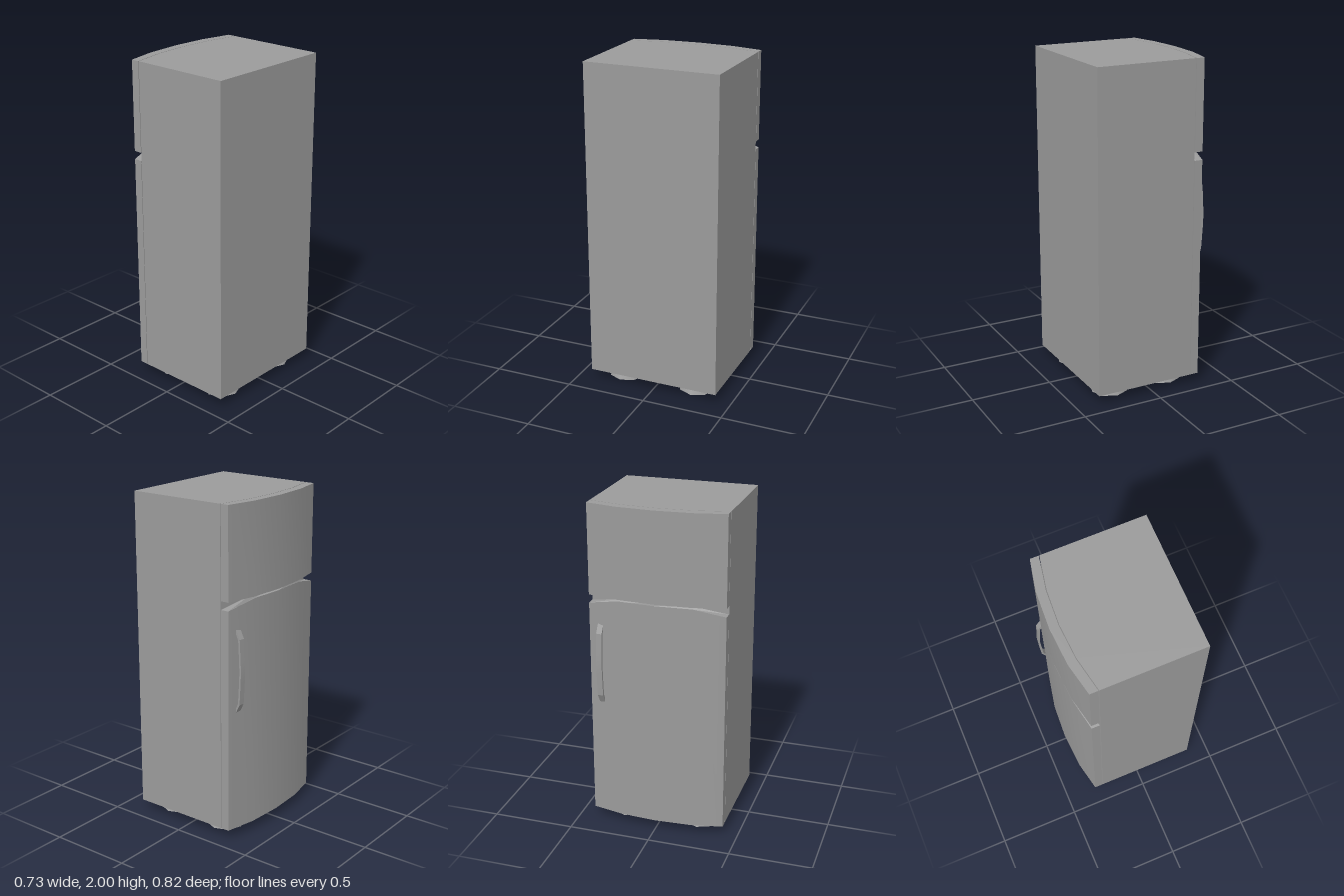
import * as THREE from 'three';
import { toCreasedNormals } from 'three/addons/utils/BufferGeometryUtils.js';

const GREY = 0x9b9b9b;
const material = new THREE.MeshStandardMaterial({ color: GREY });
const openMaterial = new THREE.MeshStandardMaterial({ color: GREY, side: THREE.DoubleSide });

const BASE = 0.057, TOP = 2, HALF = 0.411;

// Plan curves across the bowed face, as [x, z] from one side to the other
const bow = (xEdge, xKnee, xMid, zKnee) => [
  [xEdge, -HALF], [xKnee, -zKnee], [xMid, 0], [xKnee, zKnee], [xEdge, HALF],
];
const cabinetFace = bow(-0.255, -0.295, -0.307, 0.205);
const doorInner = bow(-0.259, -0.299, -0.311, 0.207);
const doorOuter = bow(-0.31, -0.35, -0.363, 0.222);

const toShape = (points) => new THREE.Shape(points.map(([a, b]) => new THREE.Vector2(a, b)));

// Raise a plan outline from y0 to y1
function prism(points, y0, y1) {
  const g = new THREE.ExtrudeGeometry(toShape(points), { depth: y1 - y0, bevelEnabled: false });
  g.rotateX(-Math.PI / 2);
  g.translate(0, y0, 0);
  return g;
}

function add(parent, name, geometry, mat = material) {
  const mesh = new THREE.Mesh(geometry, mat);
  mesh.name = name;
  parent.add(mesh);
  return mesh;
}

export function createModel() {
  const fridge = new THREE.Group();
  fridge.name = 'refrigerator';

  // Cabinet with a bowed face toward -x
  const cabinet = prism([...cabinetFace, [0.363, HALF], [0.363, -HALF]], BASE, TOP);
  add(fridge, 'cabinet', toCreasedNormals(cabinet, 0.5));

  // Doors
  const doorPlan = [...doorOuter, ...[...doorInner].reverse()];
  add(fridge, 'freezerDoor', toCreasedNormals(prism(doorPlan, 1.457, TOP), 0.5));

  // The lower door's top edge slopes down at both ends as finger grips
  const lower = prism(doorPlan, BASE, 1.448);
  const pos = lower.attributes.position;
  for (let i = 0; i < pos.count; i++) {
    if (pos.getY(i) > 1 && Math.abs(pos.getZ(i)) > 0.3) pos.setY(i, 1.407);
  }
  add(fridge, 'mainDoor', toCreasedNormals(lower, 0.5));

  // Bowed handle: side profile in x, y extruded across its width, turned to follow the door
  const outer = [[0.022, 1.3], [-0.011, 1.235], [-0.019, 1.1], [-0.021, 1.04],
    [-0.019, 0.98], [-0.011, 0.845], [0.022, 0.78]];
  const inner = [[0.022, 0.805], [0.001, 0.85], [-0.007, 0.98], [-0.009, 1.04],
    [-0.007, 1.1], [0.001, 1.23], [0.022, 1.275]];
  const handle = new THREE.ExtrudeGeometry(toShape([...outer, ...inner]), { depth: 0.035, bevelEnabled: false });
  handle.translate(0, 0, -0.0175);
  handle.rotateY(-0.1);
  handle.translate(-0.34, 0, -0.339);
  add(fridge, 'doorHandle', toCreasedNormals(handle, 0.4));

  // Hollow flared feet
  const foot = new THREE.CylinderGeometry(0.09, 0.115, BASE, 8, 1, true);
  for (const x of [-0.155, 0.21]) {
    for (const z of [-0.235, 0.235]) {
      add(fridge, 'foot', foot, openMaterial).position.set(x, BASE / 2, z);
    }
  }

  return fridge;
}
